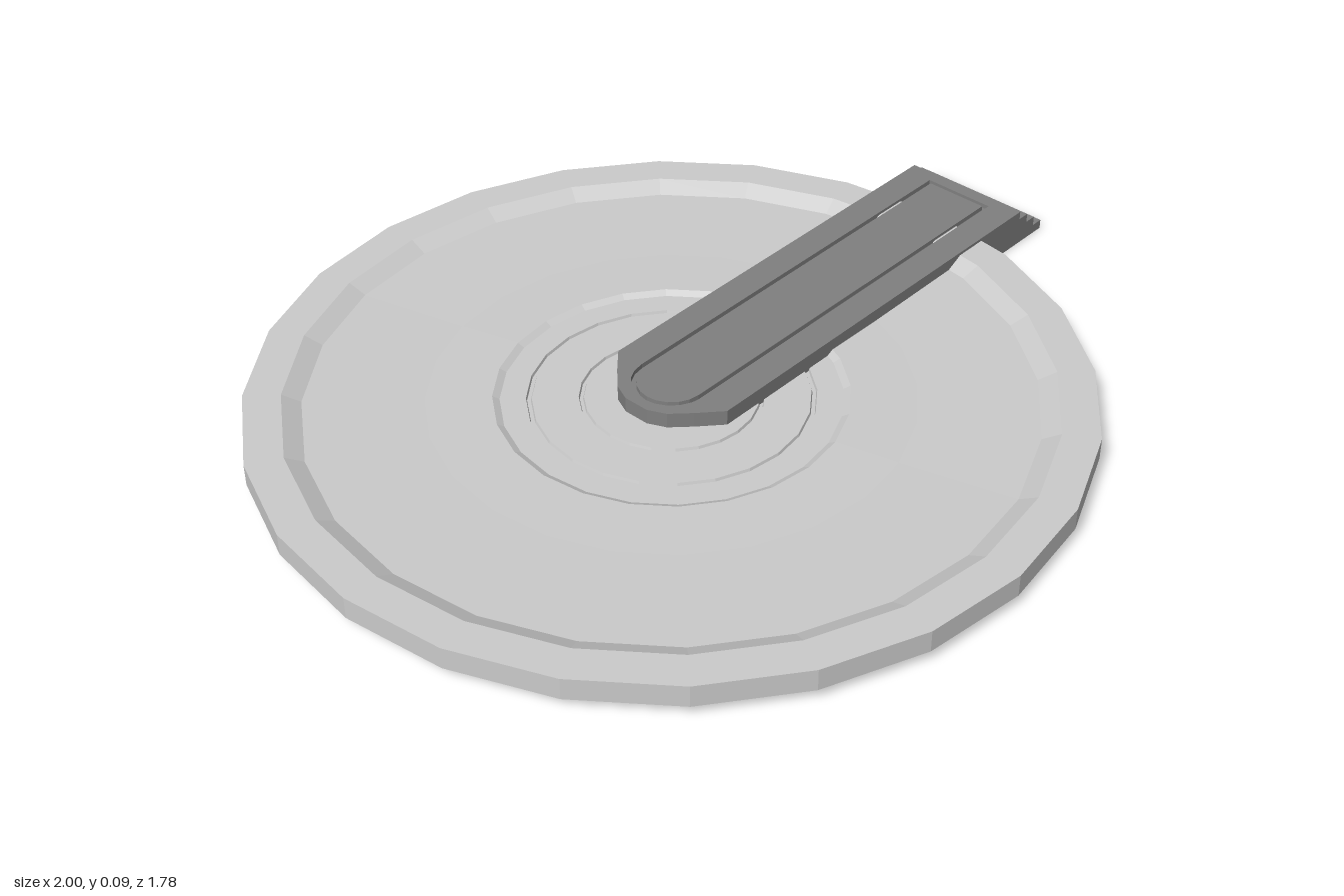
import * as THREE from 'three';

const CX = -0.11; // shared centre of the disc and the arm's round end

function material(color) {
  return new THREE.MeshStandardMaterial({ color, flatShading: true });
}

// Flat slab cut from a plan outline, from height y0 to y1
function slab(name, shape, y0, y1, mat) {
  const g = new THREE.ExtrudeGeometry(shape, { depth: y1 - y0, bevelEnabled: false });
  g.rotateX(-Math.PI / 2);
  g.translate(0, y0, 0);
  const mesh = new THREE.Mesh(g, mat);
  mesh.name = name;
  return mesh;
}

// Plan of a bar with a round left end of radius r and a square right end
function roundBar(r, endX) {
  const pts = [new THREE.Vector2(endX, -r), new THREE.Vector2(endX, r)];
  for (let i = 0; i <= 10; i++) {
    const a = Math.PI / 2 + (i / 10) * Math.PI;
    pts.push(new THREE.Vector2(CX + r * Math.cos(a), r * Math.sin(a)));
  }
  return pts;
}

// Plan of the arm with its chamfered left end
function armOutline(endX) {
  const side = [[-0.11, 0.155], [-0.16, 0.11], [-0.2, 0.07], [-0.218, 0.03]];
  const left = [...side, ...side.slice().reverse().map(([x, z]) => [x, -z])];
  const pts = [[endX, -0.155], [endX, 0.155], ...left];
  return new THREE.Shape(pts.map(([x, z]) => new THREE.Vector2(x, z)));
}

export function createModel() {
  const model = new THREE.Group();
  model.name = 'discWithArm';
  const pale = material(0xcccccc);
  const dark = material(0x808080);

  // Dished disc: underside outwards, rim, then upper face inwards
  const profile = [
    [0, 0.036], [0.185, 0.036], [0.188, 0.04], [0.195, 0.04], [0.198, 0.036],
    [0.295, 0.036], [0.298, 0.04], [0.305, 0.04], [0.308, 0.036],
    [0.36, 0.036], [0.375, 0.044], [0.525, 0.04], [0.71, 0.034],
    [0.89, 0.03], [0.89, 0.08], [0.81, 0.08], [0.77, 0.06], [0.515, 0.058],
    [0.375, 0.06], [0.36, 0.052],
    [0.305, 0.052], [0.303, 0.046], [0.295, 0.046], [0.293, 0.052],
    [0.195, 0.052], [0.193, 0.046], [0.186, 0.046], [0.184, 0.052], [0, 0.052],
  ].map(([r, y]) => new THREE.Vector2(r, y));
  const disc = new THREE.Mesh(new THREE.LatheGeometry(profile, 24), pale);
  disc.name = 'disc';
  disc.position.x = CX;
  model.add(disc);

  // Arm in layers that step down towards its outer end
  const arm = new THREE.Group();
  arm.name = 'arm';
  const layers = [[0, 0.022, 1], [0.022, 0.045, 0.97], [0.045, 0.067, 0.94], [0.067, 0.076, 0.91]];
  layers.forEach(([y0, y1, endX], i) => {
    arm.add(slab('armStep' + (i + 1), armOutline(endX), y0, y1, dark));
  });

  // Top layer: border and inlay with a narrow groove between them
  const border = armOutline(0.91);
  border.holes.push(new THREE.Path(roundBar(0.086, 0.88)));
  arm.add(slab('armBorder', border, 0.076, 0.087, dark));
  arm.add(slab('armInlay', new THREE.Shape(roundBar(0.075, 0.87)), 0.076, 0.087, dark));
  model.add(arm);

  return model;
}
